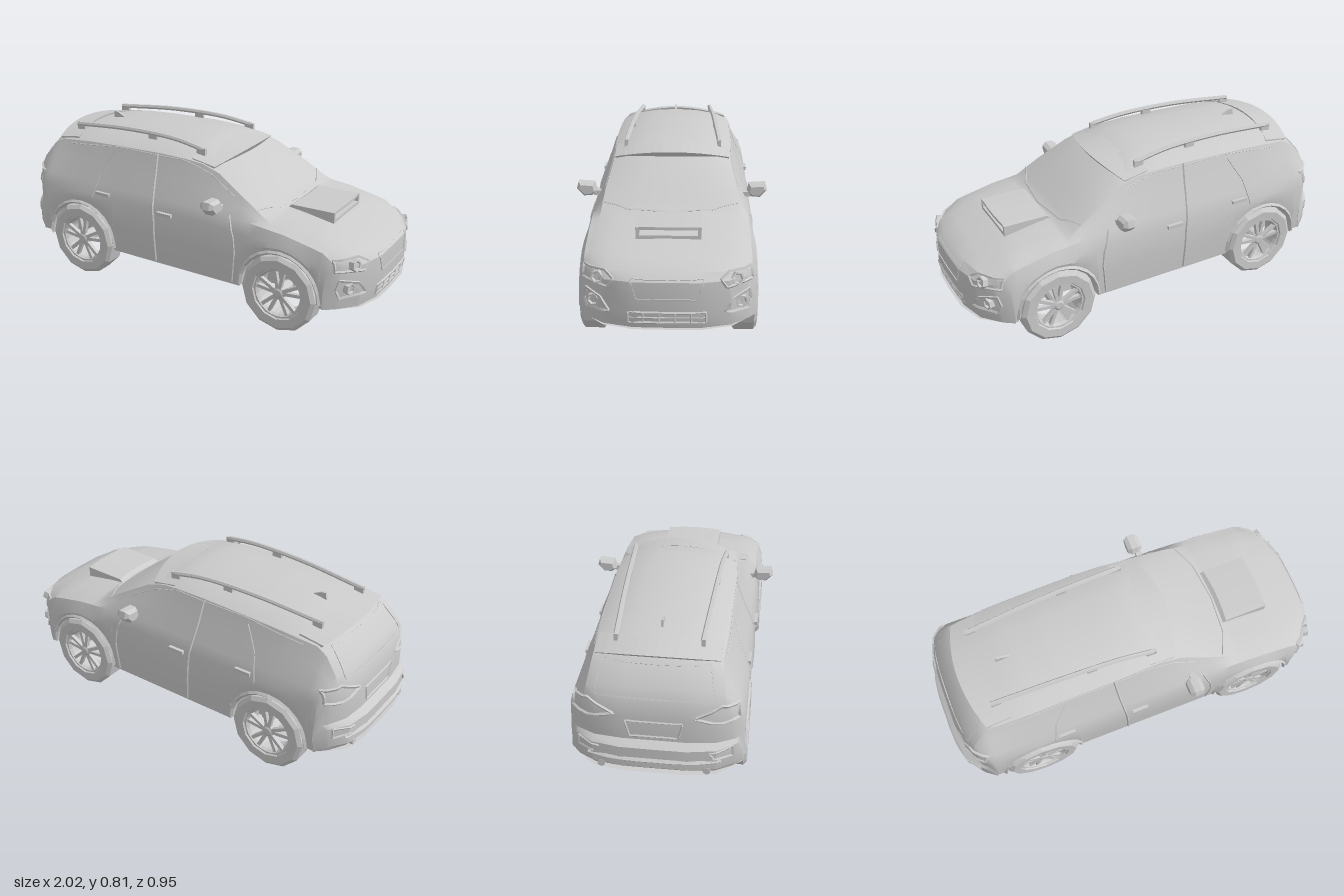
import * as THREE from 'three';
import { toCreasedNormals } from 'three/addons/utils/BufferGeometryUtils.js';

const smooth = new THREE.MeshStandardMaterial({ color: 0xcccccc, side: THREE.DoubleSide });
const flat = new THREE.MeshStandardMaterial({ color: 0xcccccc, side: THREE.DoubleSide, flatShading: true });
const { lerp, clamp } = THREE.MathUtils;
const V = (x, y, z) => new THREE.Vector3(x, y, z);
const AXLES = [-0.6, 0.585], ARCH_R = 0.212, WHEEL_Y = 0.197;

// Body stations: x, top y, shoulder y, roof edge z, roof edge drop
const rear = [
  [-0.975, 0.205, 0.204, 0.35, 0], [-1, 0.23, 0.225, 0.36, 0], [-1, 0.335, 0.33, 0.36, 0],
  [-0.965, 0.36, 0.35, 0.35, 0.005], [-0.965, 0.48, 0.45, 0.34, 0.01],
  [-0.95, 0.56, 0.5, 0.32, 0.02], [-0.92, 0.62, 0.52, 0.31, 0.03],
];
const main = [
  [-0.84, 0.71, 0.53, 0.295, 0.04], [-0.78, 0.745, 0.53, 0.29, 0.045], [-0.6, 0.775, 0.53, 0.3, 0.055],
  [-0.4, 0.79, 0.53, 0.3, 0.06], [-0.15, 0.798, 0.53, 0.3, 0.06], [0, 0.795, 0.53, 0.295, 0.06],
  [0.1, 0.78, 0.53, 0.29, 0.055], [0.2, 0.74, 0.53, 0.295, 0.045], [0.35, 0.645, 0.52, 0.32, 0.035],
  [0.5, 0.545, 0.505, 0.335, 0.025], [0.6, 0.53, 0.495, 0.32, 0.02], [0.75, 0.505, 0.465, 0.32, 0.02],
  [0.88, 0.465, 0.435, 0.33, 0.015],
];
const nose = [
  [0.96, 0.435, 0.415, 0.34, 0.01], [0.995, 0.4, 0.39, 0.35, 0.005],
  [1, 0.25, 0.245, 0.36, 0], [0.985, 0.182, 0.181, 0.36, 0],
];

const floorY = (x) => (x < -0.8 ? 0.2 : 0.18);
function archY(x) {
  for (const c of AXLES) {
    const d = Math.abs(x - c);
    if (d <= ARCH_R) return WHEEL_Y + Math.sqrt(ARCH_R ** 2 - d * d);
  }
  return floorY(x);
}
function stationAt(x) {
  const i = clamp(main.findIndex((k) => k[0] >= x), 1, main.length - 1);
  const a = main[i - 1], b = main[i], t = (x - a[0]) / (b[0] - a[0]);
  return a.map((v, n) => lerp(v, b[n], t));
}
// Plan rounding of both ends
function bend(x, z) {
  const q = Math.abs(z) / 0.4;
  if (x > 0.8) return x - clamp((x - 0.8) / 0.2, 0, 1) * 0.18 * q ** 4;
  if (x < -0.82) return x + clamp((-0.82 - x) / 0.18, 0, 1) * 0.14 * q ** 5;
  return x;
}

function bodyGeometry() {
  const mid = main.map((k) => ({ k, ya: archY(k[0]) }));
  for (const c of AXLES) {
    mid.push({ k: stationAt(c - ARCH_R), ya: floorY(0) });
    for (let a = 0; a <= 10; a++) {
      const t = Math.PI * (1 - a / 10);
      mid.push({ k: stationAt(c + ARCH_R * Math.cos(t)), ya: WHEEL_Y + ARCH_R * Math.sin(t) });
    }
    mid.push({ k: stationAt(c + ARCH_R), ya: floorY(0) });
  }
  mid.sort((a, b) => (Math.abs(a.k[0] - b.k[0]) < 1e-6 ? 0 : a.k[0] - b.k[0]));
  const plain = (k) => ({ k, ya: floorY(k[0]) });
  const stations = [...rear.map(plain), ...mid, ...nose.map(plain)];
  const pos = [], idx = [];
  let n = 0;
  for (const { k: [x, T, S, zr, e], ya } of stations) {
    const yb = floorY(x), s2 = Math.max(S - 0.06, lerp(ya, S, 0.5));
    const half = [[0, yb], [0.15, yb], [0.285, yb], [0.285, ya], [0.395, ya], [0.402, lerp(ya, s2, 0.5)],
      [0.395, s2], [0.375, S], [lerp(0.375, zr, 0.55), lerp(S, T - e, 0.5)], [zr, T - e],
      [zr * 0.78, T - e * 0.45], [zr * 0.42, T - e * 0.12], [0, T]];
    const ring = [...half, ...half.slice(1, -1).reverse().map(([z, y]) => [-z, y])];
    n = ring.length;
    for (const [z, y] of ring) pos.push(bend(x, z), y, z);
  }
  for (let i = 0; i < stations.length - 1; i++)
    for (let j = 0; j < n; j++) {
      const a = i * n + j, b = i * n + (j + 1) % n, c = b + n, d = a + n;
      idx.push(a, d, c, a, c, b);
    }
  const g = new THREE.BufferGeometry();
  g.setAttribute('position', new THREE.Float32BufferAttribute(pos, 3));
  g.setIndex(idx);
  return toCreasedNormals(g, 0.45);
}

export function createModel() {
  const car = new THREE.Group();
  const add = (name, geo, mat = flat, parent = car) => {
    const m = new THREE.Mesh(geo, mat);
    m.name = name;
    parent.add(m);
    return m;
  };
  const box = (name, w, h, d, x, y, z, parent) => add(name, new THREE.BoxGeometry(w, h, d).translate(x, y, z), flat, parent);
  const body = add('body', bodyGeometry(), smooth);

  // Finds the body surface from one direction
  const ray = new THREE.Raycaster();
  const from = {
    front: (z, y) => [V(2, y, z), V(-1, 0, 0)], rear: (z, y) => [V(-2, y, z), V(1, 0, 0)],
    left: (x, y) => [V(x, y, 2), V(0, 0, -1)], right: (x, y) => [V(x, y, -2), V(0, 0, 1)],
    top: (x, z) => [V(x, 2, z), V(0, -1, 0)],
  };
  const hit = (dir, a, b) => {
    ray.set(...from[dir](a + 0.0003, b + 0.0002));
    return ray.intersectObject(body)[0];
  };
  // Thin moulding laid along the body surface
  function trace(name, dir, pts, r, closed = false) {
    const path = [], count = closed ? pts.length : pts.length - 1;
    for (let i = 0; i < count; i++) {
      const a = pts[i], b = pts[(i + 1) % pts.length];
      for (let t = 0; t < 6; t++) path.push(hit(dir, lerp(a[0], b[0], t / 6), lerp(a[1], b[1], t / 6)));
    }
    if (!closed) path.push(hit(dir, ...pts[count]));
    const found = path.filter(Boolean).map((h) => h.point);
    if (found.length > 3) add(name, new THREE.TubeGeometry(new THREE.CatmullRomCurve3(found, closed), found.length * 2, r, 4, closed));
  }
  // Six-sided lamp standing on the surface
  function lamp(name, dir, a, b, r, depth) {
    const h = hit(dir, a, b);
    if (!h) return;
    const axis = from[dir](0, 0)[1].negate().lerp(h.face.normal, 0.4).normalize();
    const m = add(name, new THREE.LatheGeometry([[0, 0.2], [0.6, 0.2], [0.75, 1], [1, 1], [1.05, -1]]
      .map(([u, v]) => new THREE.Vector2(u * r, v * depth)), 6));
    m.position.copy(h.point);
    m.quaternion.setFromUnitVectors(V(0, 1, 0), axis);
  }
  // Side profile swept across the car and bowed at its ends
  function bowed(name, profile, halfWidth, dx, dy) {
    const g = new THREE.ExtrudeGeometry(new THREE.Shape(profile.map((p) => new THREE.Vector2(...p))),
      { depth: 2 * halfWidth, steps: 12, bevelEnabled: false }).translate(0, 0, -halfWidth);
    const p = g.attributes.position;
    for (let i = 0; i < p.count; i++) {
      const q = (p.getZ(i) / halfWidth) ** 2;
      p.setXY(i, p.getX(i) + dx * q, p.getY(i) + dy * q);
    }
    add(name, g);
  }

  // Roof and bonnet parts
  bowed('windscreenVisor', [[0.09, 0.783], [0.225, 0.76], [0.205, 0.728], [0.12, 0.76]], 0.285, -0.06, -0.04);
  bowed('rearSpoiler', [[-0.73, 0.762], [-0.86, 0.742], [-0.84, 0.722], [-0.74, 0.715]], 0.28, 0.05, -0.035);
  bowed('bonnetScoopTop', [[0.5, 0.535], [0.53, 0.558], [0.75, 0.562], [0.75, 0.548]], 0.15, -0.01, -0.004);
  for (const z of [-0.148, 0.133])
    add('bonnetScoopSide', new THREE.ExtrudeGeometry(new THREE.Shape([[0.5, 0.52], [0.53, 0.553], [0.745, 0.558], [0.745, 0.49]]
      .map((p) => new THREE.Vector2(...p))), { depth: 0.015, bevelEnabled: false }).translate(0, 0, z));
  box('bonnetScoopSill', 0.03, 0.02, 0.29, 0.73, 0.51, 0);
  add('aerialFin', new THREE.ExtrudeGeometry(new THREE.Shape([[-0.66, 0.76], [-0.655, 0.8], [-0.63, 0.797], [-0.575, 0.77]]
    .map((p) => new THREE.Vector2(...p))), { depth: 0.01, bevelEnabled: false }).translate(0, 0, -0.005));
  trace('cowlSeam', 'top', [[0.42, -0.33], [0.48, -0.2], [0.5, 0], [0.48, 0.2], [0.42, 0.33]], 0.005);

  // Front face
  trace('grilleFrame', 'front', [[-0.16, 0.41], [0.16, 0.41], [0.135, 0.32], [-0.135, 0.32]], 0.005, true);
  trace('lowerGrilleFrame', 'front', [[-0.17, 0.26], [0.17, 0.26], [0.17, 0.21], [-0.17, 0.21]], 0.006, true);
  trace('lowerGrilleBar', 'front', [[-0.17, 0.235], [0.17, 0.235]], 0.005);
  for (const z of [-0.105, -0.035, 0.035, 0.105]) trace('lowerGrillePost', 'front', [[z, 0.21], [z, 0.26]], 0.005);
  // Rear face
  trace('rearWindowFrame', 'rear', [[-0.24, 0.695], [0.24, 0.695], [0.27, 0.57], [-0.27, 0.57]], 0.005, true);
  trace('plateRecess', 'rear', [[-0.13, 0.46], [0.13, 0.46], [0.11, 0.38], [-0.11, 0.38]], 0.005, true);
  trace('rearBumperBar', 'rear', [[-0.3, 0.27], [0.3, 0.27]], 0.012);

  for (const s of [1, -1]) {
    const side = s > 0 ? 'left' : 'right';
    const flip = (pts) => pts.map(([z, y]) => [z * s, y]);
    trace('headlightFrame', 'front', flip([[0.235, 0.405], [0.27, 0.43], [0.37, 0.425], [0.375, 0.375], [0.26, 0.368]]), 0.007, true);
    lamp('headlight', 'front', 0.305 * s, 0.398, 0.03, 0.014);
    trace('fogLightFrame', 'front', flip([[0.255, 0.255], [0.36, 0.24], [0.37, 0.28], [0.36, 0.33], [0.29, 0.31]]), 0.008, true);
    lamp('fogLight', 'front', 0.325 * s, 0.285, 0.03, 0.014);
    trace('tailLightFrame', 'rear', flip([[0.18, 0.49], [0.3, 0.545], [0.37, 0.53], [0.375, 0.47], [0.3, 0.46]]), 0.008, true);
    trace('rearReflectorFrame', 'rear', flip([[0.25, 0.32], [0.35, 0.33], [0.35, 0.28], [0.27, 0.29]]), 0.006, true);
    add('exhaustTip', new THREE.CylinderGeometry(0.018, 0.018, 0.08, 8).rotateZ(Math.PI / 2).translate(-0.945, 0.22, 0.24 * s));

    // Door and window seams
    trace('frontDoorSeam', side, [[0.3, 0.53], [0.335, 0.43], [0.345, 0.35], [0.33, 0.19]], 0.005);
    trace('middleDoorSeam', side, [[-0.16, 0.735], [-0.15, 0.6], [-0.13, 0.42], [-0.12, 0.19]], 0.006);
    trace('rearDoorSeam', side, [[-0.42, 0.7], [-0.49, 0.58], [-0.52, 0.45]], 0.003);
    trace('windowTopSeam', side, [[-0.72, 0.69], [-0.4, 0.725], [0, 0.728], [0.15, 0.69], [0.3, 0.61]], 0.003);
    for (const [x, y] of [[-0.45, 0.485], [-0.06, 0.46]])
      box('doorHandle', 0.085, 0.018, 0.025, x, y, s * (y > 0.47 ? 0.39 : 0.4));

    // Wing mirror
    add('wingMirror', new THREE.ExtrudeGeometry(new THREE.Shape([[0.375, 0.56], [0.385, 0.605], [0.465, 0.61], [0.475, 0.575], [0.44, 0.538], [0.4, 0.54]]
      .map(([z, y]) => new THREE.Vector2(-z * s, y))), { depth: 0.035, bevelThickness: 0.02, bevelSize: 0.012, bevelOffset: -0.012, bevelSegments: 1 })
      .rotateY(Math.PI / 2).translate(0.21, 0, 0));
    box('mirrorStalk', 0.03, 0.025, 0.05, 0.24, 0.555, 0.365 * s);

    // Roof rail with feet
    const rail = new THREE.CatmullRomCurve3([V(-0.75, 0.765, 0.195 * s), V(-0.4, 0.798, 0.212 * s), V(-0.1, 0.8, 0.225 * s), V(0.07, 0.778, 0.237 * s)]);
    add('roofRail', new THREE.TubeGeometry(rail, 16, 0.012, 6));
    for (const t of [0.02, 0.5, 0.98]) {
      const p = rail.getPoint(t);
      box('railFoot', 0.05, 0.035, 0.018, p.x, p.y - 0.012, p.z);
    }

    for (const x of AXLES) {
      add('archFlare', new THREE.TorusGeometry(0.212, 0.011, 4, 12, Math.PI).translate(x, WHEEL_Y, 0.397 * s));
      const wheel = new THREE.Group();
      wheel.name = 'wheel';
      wheel.position.set(x, WHEEL_Y, 0.35 * s);
      wheel.rotation.y = s > 0 ? 0 : Math.PI;
      car.add(wheel);
      const ring = (name, pts, seg) => add(name, new THREE.LatheGeometry(pts.map((p) => new THREE.Vector2(...p)), seg).rotateX(Math.PI / 2), flat, wheel);
      ring('tyre', [[0.13, -0.06], [0.178, -0.06], [0.197, -0.045], [0.197, 0.045], [0.178, 0.06], [0.135, 0.058], [0.125, 0.04], [0.13, -0.06]], 12);
      ring('rim', [[0.112, -0.05], [0.112, 0.035], [0.12, 0.05], [0.135, 0.05], [0.13, -0.05], [0.112, -0.05]], 24);
      ring('hub', [[0, 0.05], [0.018, 0.05], [0.032, 0.042], [0.036, 0.02], [0.03, -0.06], [0, -0.06]], 12);
      for (let i = 0; i < 5; i++)
        for (const off of [-0.2, 0.2]) {
          const spoke = box('spoke', 0.1, 0.017, 0.02, 0.07, 0, 0.035, wheel);
          spoke.rotation.z = (i * 2 * Math.PI) / 5 + Math.PI / 2 + off;
        }
    }
  }

  // Underside
  for (const x of AXLES) {
    add('axle', new THREE.CylinderGeometry(0.022, 0.022, 0.64, 8).rotateX(Math.PI / 2).translate(x, 0.185, 0));
    box('suspensionBeam', 0.05, 0.03, 0.56, x + 0.08, 0.18, 0);
  }
  add('driveShaft', new THREE.CylinderGeometry(0.018, 0.018, 1.2, 8).rotateZ(Math.PI / 2).translate(0, 0.18, 0));
  box('gearbox', 0.25, 0.03, 0.1, -0.125, 0.178, 0);
  add('differential', new THREE.CylinderGeometry(0.065, 0.05, 0.05, 4, 1).rotateY(Math.PI / 4).translate(0.585, 0.17, -0.195));
  add('exhaustPipe', new THREE.CylinderGeometry(0.014, 0.014, 1.2, 8).rotateZ(Math.PI / 2).translate(-0.05, 0.18, -0.19));
  return car;
}
